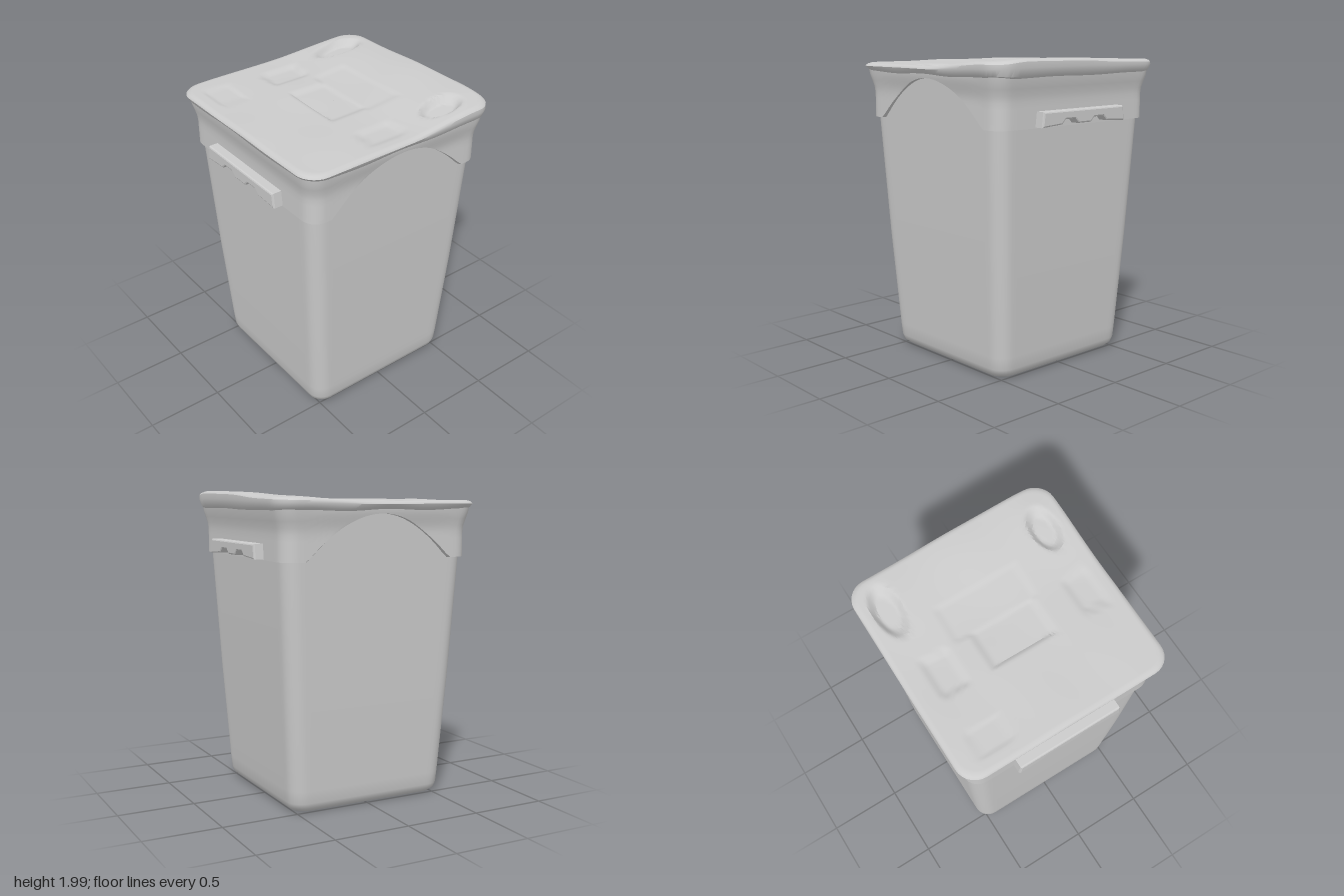
import * as THREE from 'three';
import { toCreasedNormals } from 'three/addons/utils/BufferGeometryUtils.js';

const material = new THREE.MeshStandardMaterial({ color: 0xcccccc, side: THREE.DoubleSide });
const { smoothstep, lerp } = THREE.MathUtils;
const SIDE = 28, CORNER = 7;

// Rounded square outline: evenly split sides, arc corners
function ring(half, r) {
  const pts = [], s = half - r;
  for (let k = 0; k < 4; k++) {
    const c = Math.cos(k * Math.PI / 2), n = Math.sin(k * Math.PI / 2);
    const add = (x, z) => pts.push([x * c - z * n, x * n + z * c]);
    for (let i = 0; i < SIDE; i++) add(half, lerp(-s, s, i / SIDE));
    for (let i = 0; i < CORNER; i++) {
      const a = i / CORNER * Math.PI / 2;
      add(s + r * Math.cos(a), s + r * Math.sin(a));
    }
  }
  return pts;
}

// Skin between closed rows of [x, y, z] points, listed from below upward
function loft(rows, crease) {
  const pos = [], idx = [], n = rows[0].length;
  rows.forEach(row => row.forEach(p => pos.push(...p)));
  for (let i = 0; i < rows.length - 1; i++) for (let j = 0; j < n; j++) {
    const a = i * n + j, b = i * n + (j + 1) % n;
    idx.push(a, a + n, b, b, a + n, b + n);
  }
  const g = new THREE.BufferGeometry();
  g.setAttribute('position', new THREE.Float32BufferAttribute(pos, 3));
  g.setIndex(idx);
  return toCreasedNormals(g, crease);
}

function part(group, name, geometry) {
  const m = new THREE.Mesh(geometry, material);
  m.name = name;
  group.add(m);
  return m;
}

// Soft-edged rectangular and oval dents in the lid
const span = (v, a, b, e) => smoothstep(v, a - e, a + e) * (1 - smoothstep(v, b - e, b + e));
const slot = (x, z, x0, x1, z0, z1) => span(x, x0, x1, 0.012) * span(z, z0, z1, 0.03);
const oval = (x, z, cx, cz, rx, rz) =>
  1 - smoothstep(Math.hypot((x - cx) / rx, (z - cz) / rz), 0.55, 1);

// Lid height: flat on one side, swelling toward the other
function lidTop(x, z) {
  const swell = smoothstep(x, 0.0, 0.62);
  let y = 1.935 + swell * (0.058 - 0.03 * smoothstep(-z, -0.4, 0.7) - 0.015 * smoothstep(z, 0.45, 0.7));
  y -= 0.016 * slot(x, z, -0.18, 0.07, -0.54, -0.37);
  y -= 0.016 * slot(x, z, -0.18, 0.07, -0.2, 0.22);
  y -= 0.012 * slot(x, z, -0.18, 0.07, 0.44, 0.6);
  y -= 0.008 * slot(x, z, -0.6, -0.43, -0.55, -0.33);
  y -= 0.008 * slot(x, z, 0.07, 0.31, -0.3, 0.25);
  y -= 0.045 * oval(x, z, 0.45, -0.54, 0.2, 0.1);
  y -= 0.045 * oval(x, z, 0.41, 0.53, 0.17, 0.1);
  return y + 0.003 * Math.sin(7 * x + 3 * z) * Math.sin(9 * z - 2 * x);
}

// Collar lower edge: straight on the sides, arched on front and back
function collarBottom(x, z) {
  if (Math.abs(z) < 0.62) return 1.58;
  const t = Math.min(1, Math.abs(x) / 0.5);
  return 1.58 + 0.28 * Math.pow(Math.cos(t * Math.PI / 2), 0.9);
}
const collarHalf = y => 0.649 + 0.03 * smoothstep(y, 1.74, 1.9);

export function createModel() {
  const model = new THREE.Group();
  model.name = 'bin';

  // Tapered body with rounded floor edge
  const profile = [[0.001, 0, 0.0005], [0.3, 0, 0.05], [0.47, 0.003, 0.08], [0.508, 0.014, 0.09],
    [0.532, 0.036, 0.095], [0.544, 0.07, 0.1], [0.55, 0.15, 0.1], [0.59, 0.8, 0.1],
    [0.63, 1.58, 0.1], [0.645, 1.9, 0.1]];
  part(model, 'body', loft(profile.map(([h, y, r]) => ring(h, r).map(([x, z]) => [x, y, z])), 0.7));

  // Collar: underside lip, then the outer skin up to the lid
  const base = ring(0.649, 0.1);
  const collarRows = [base.map(([x, z]) => [x * 0.955, collarBottom(x, z), z * 0.955])];
  for (let i = 0; i <= 8; i++) {
    collarRows.push(base.map(([x, z]) => {
      const y = lerp(collarBottom(x, z), 1.9, i / 8);
      const k = collarHalf(y) / 0.649;
      return [x * k, y, z * k];
    }));
  }
  part(model, 'collar', loft(collarRows, 0.6));

  // Lid: overhanging rim with an uneven lower edge, then the dented top
  const rim = ring(0.7, 0.13), edge = lidTop;
  const rimRow = (s, f) => rim.map(([x, z]) => [x * s, f(x, z), z * s]);
  const sag = (x, z) => 0.008 * Math.sin(11 * x + 2) * Math.cos(9 * z + 1);
  const lidRows = [
    rimRow(0.93, () => 1.885),
    rimRow(0.965, (x, z) => 1.88 + sag(x, z)),
    rimRow(0.985, (x, z) => 1.893 + sag(x, z)),
    rimRow(1.002, (x, z) => lerp(1.9, edge(x, z), 0.45)),
    rimRow(1.0, (x, z) => edge(x, z) - 0.016),
    rimRow(0.988, (x, z) => edge(x, z) - 0.006),
  ];
  for (let i = 0; i <= 48; i++) {
    const s = lerp(0.965, 0.001, i / 48);
    lidRows.push(rim.map(([x, z]) => [x * s, lidTop(x * s, z * s), z * s]));
  }
  part(model, 'lid', loft(lidRows, 0.6));

  // Side grips with two finger notches each
  const outline = [[-0.35, 1.595], [-0.2, 1.605], [-0.17, 1.635], [-0.08, 1.635], [-0.05, 1.605],
    [0.05, 1.605], [0.08, 1.635], [0.17, 1.635], [0.2, 1.605], [0.35, 1.595], [0.34, 1.67], [-0.34, 1.67]];
  const grip = new THREE.ExtrudeGeometry(new THREE.Shape(outline.map(p => new THREE.Vector2(...p))),
    { depth: 0.08, bevelEnabled: true, bevelSize: 0.01, bevelThickness: 0.012, bevelSegments: 2 });
  grip.translate(0, 0, 0.622).rotateY(Math.PI / 2);
  part(model, 'leftGrip', grip);
  part(model, 'rightGrip', grip).rotation.y = Math.PI;

  return model;
}
